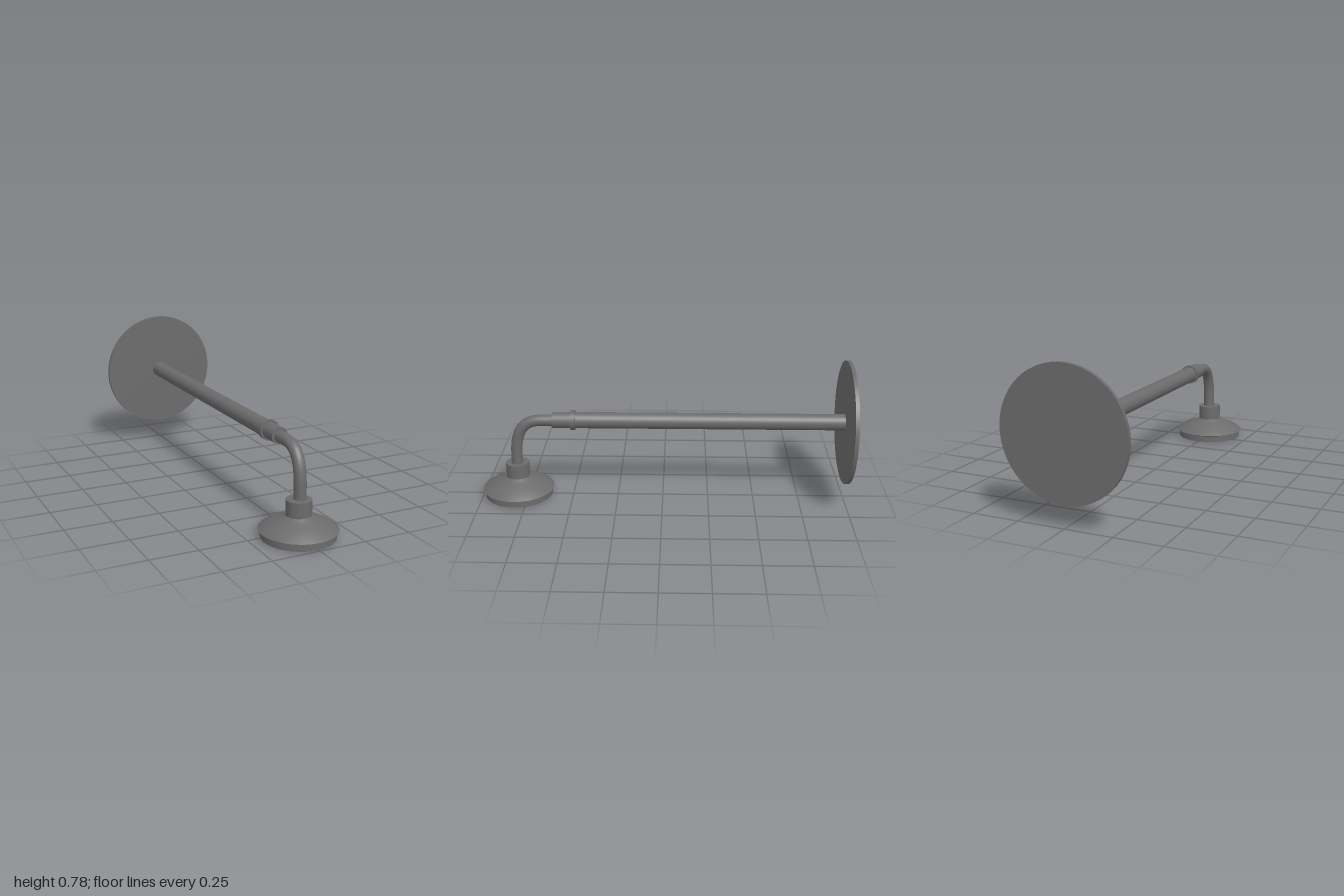
import * as THREE from 'three';
import { toCreasedNormals } from 'three/addons/utils/BufferGeometryUtils.js';

export function createModel() {
  const group = new THREE.Group();
  const material = new THREE.MeshStandardMaterial({ color: 0x6b6b6b });
  const armY = 0.445;
  const headZ = 0.805;

  const add = (name, geometry, parent = group) => {
    const mesh = new THREE.Mesh(geometry, material);
    mesh.name = name;
    parent.add(mesh);
    return mesh;
  };

  // Cylinder lying along z at the height of the arm
  const rod = (name, radius, z0, z1, sides = 48) => {
    const geometry = new THREE.CylinderGeometry(radius, radius, z1 - z0, sides);
    geometry.rotateX(Math.PI / 2).translate(0, armY, (z0 + z1) / 2);
    add(name, geometry);
  };

  // Wall plate, long arm and the fitting at its end
  rod('wallPlate', 0.333, -1, -0.98, 96);
  rod('arm', 0.044, -0.98, 0.49);
  rod('collarRing', 0.053, 0.475, 0.5);
  rod('sleeve', 0.043, 0.5, 0.6);

  // Curved pipe turning down into the head
  const pipeY = 0.443;
  const v = (y, z) => new THREE.Vector3(0.001, y, z);
  const path = new THREE.CurvePath();
  path.add(new THREE.LineCurve3(v(pipeY, 0.58), v(pipeY, 0.66)));
  path.add(new THREE.CubicBezierCurve3(v(pipeY, 0.66), v(pipeY, 0.765), v(0.375, headZ), v(0.23, headZ)));
  path.add(new THREE.LineCurve3(v(0.23, headZ), v(0.17, headZ)));
  add('bentPipe', new THREE.TubeGeometry(path, 40, 0.031, 20, false));

  // Shower head: flat face, straight skirt, sharp rim, bell and neck
  const head = new THREE.Group();
  head.name = 'showerHead';
  head.position.set(-0.004, 0, headZ);
  group.add(head);
  const profile = [
    [0, 0.001], [0.185, 0.001], [0.185, 0.036], [0.196, 0.041],
    [0.165, 0.063], [0.128, 0.081], [0.095, 0.095], [0.075, 0.104], [0.064, 0.112],
    [0.064, 0.19], [0, 0.19],
  ].map(([r, y]) => new THREE.Vector2(r, y));
  add('headBody', toCreasedNormals(new THREE.LatheGeometry(profile, 64), 0.5), head);

  // Fine spray ribs in broken spokes on the underside
  for (let i = 0; i < 8; i++) {
    for (const radius of [0.05, 0.095, 0.14]) {
      const rib = new THREE.BoxGeometry(0.03, 0.002, 0.004);
      rib.translate(radius, 0.001, 0).rotateY((i * Math.PI) / 4);
      add('sprayRib', rib, head);
    }
  }

  return group;
}
